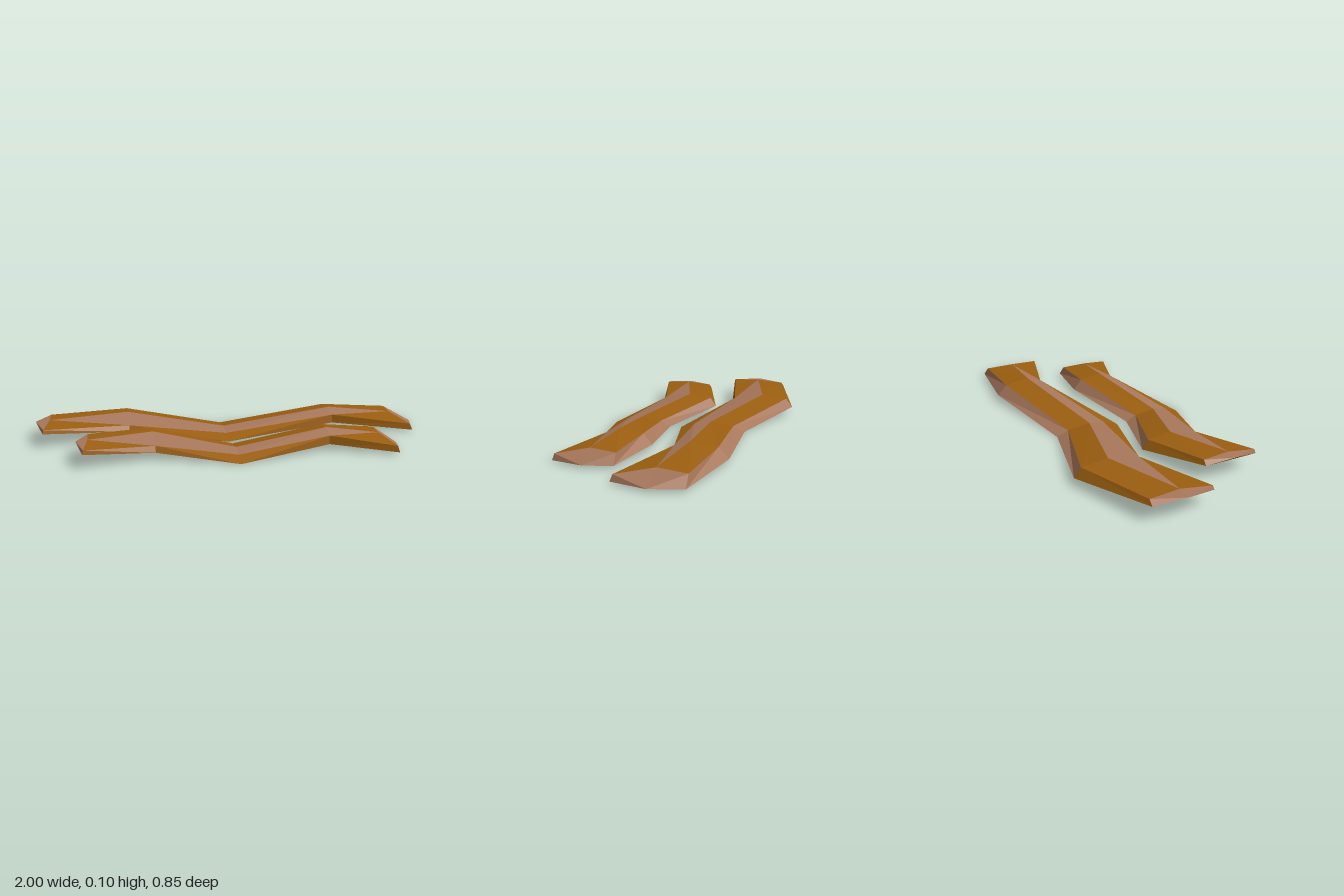
import * as THREE from 'three';

// Cross-sections along x; each has five corners [x, y, z] running from back to front:
// back base, back shoulder, ridge, front shoulder, front base
const SECTIONS = [
  [[-0.96, 0.07, -0.29], [-0.93, 0.09, -0.285], [-0.93, 0.1, -0.14], [-0.955, 0.09, 0.01], [-0.96, 0.07, 0.015]],
  [[-0.53, 0.035, -0.43], [-0.53, 0.08, -0.395], [-0.53, 0.095, -0.26], [-0.53, 0.065, -0.1], [-0.53, 0.035, -0.085]],
  [[-0.04, 0, -0.28], [-0.04, 0.025, -0.22], [-0.04, 0.04, -0.1], [-0.04, 0.025, -0.015], [-0.04, 0, 0.06]],
  [[0.55, 0.03, -0.36], [0.55, 0.08, -0.31], [0.55, 0.097, -0.18], [0.55, 0.072, -0.105], [0.55, 0.03, -0.1]],
  [[0.95, 0.01, -0.29], [0.9, 0.06, -0.285], [0.88, 0.068, -0.14], [0.94, 0.04, 0.03], [0.95, 0.01, 0.04]],
];
const LEFT_TIP = [-1, 0.094, -0.14];
const RIGHT_TIP = [1, 0.012, -0.14];

function facetedMesh(name, triangles, color) {
  const geometry = new THREE.BufferGeometry();
  geometry.setAttribute('position', new THREE.Float32BufferAttribute(triangles.flat(2), 3));
  geometry.computeVertexNormals();
  const mesh = new THREE.Mesh(geometry, new THREE.MeshStandardMaterial({ color, flatShading: true }));
  mesh.name = name;
  return mesh;
}

function createStrip(name) {
  const meat = [], fat = [];
  const last = SECTIONS.length - 1;

  // Long bands between neighbouring sections
  for (let i = 0; i < last; i++) {
    for (let j = 0; j < 5; j++) {
      const k = (j + 1) % 5;
      const a = SECTIONS[i][j], b = SECTIONS[i][k];
      const c = SECTIONS[i + 1][k], d = SECTIONS[i + 1][j];
      const pair = i < 2 ? [[a, c, d], [a, b, c]] : [[a, b, d], [b, c, d]];
      const fatty = j === 2 || (j === 0 && i > 0);
      // The fat streak narrows to a point at both ends
      const tapered = j === 2 && (i === 0 || i === last - 1);
      (fatty ? fat : meat).push(pair[0]);
      (fatty && !tapered ? fat : meat).push(pair[1]);
    }
  }

  // Pointed ends: fatty on top, meat underneath
  for (let j = 0; j < 5; j++) {
    const k = (j + 1) % 5;
    const target = j < 4 ? fat : meat;
    target.push([SECTIONS[last][j], SECTIONS[last][k], RIGHT_TIP]);
    target.push([LEFT_TIP, SECTIONS[0][k], SECTIONS[0][j]]);
  }

  const strip = new THREE.Group();
  strip.name = name;
  strip.add(facetedMesh('meat', meat, 0x9c5f10), facetedMesh('fat', fat, 0xa8785c));
  return strip;
}

export function createModel() {
  const model = new THREE.Group();
  model.name = 'baconStrips';

  const backStrip = createStrip('backStrip');

  // The front strip is a shorter, narrower copy
  const frontStrip = createStrip('frontStrip');
  frontStrip.scale.set(0.79, 1, 0.9);
  frontStrip.position.set(-0.005, 0, 0.37);

  model.add(backStrip, frontStrip);
  return model;
}
